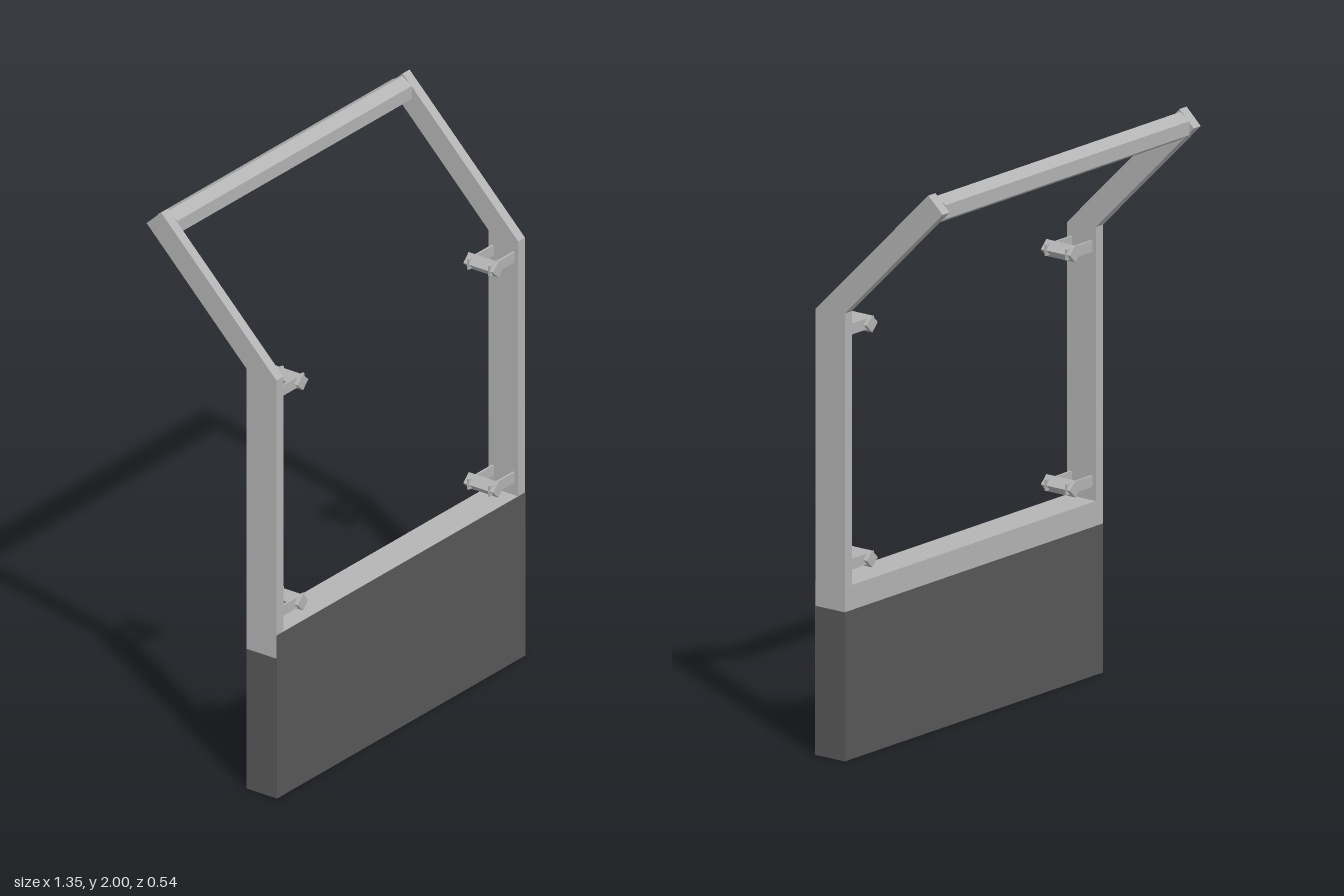
import * as THREE from 'three';

export function createModel() {
  const model = new THREE.Group();
  model.name = 'boardFrame';

  const steel = new THREE.MeshStandardMaterial({ color: 0xb4b4b4 });
  steel.name = 'light grey steel';
  const dark = new THREE.MeshStandardMaterial({ color: 0x585858 });
  dark.name = 'dark grey panel';

  const HALF = 0.675, INNER = 0.638;       // outer and inner half widths
  const FRONT = 0.268, BACK = 0.145;       // depth of the upright part
  const MID = (FRONT + BACK) / 2, DEPTH = FRONT - BACK;
  const BASE = 0.51, SILL = 0.595;

  const add = (parent, name, geometry, material, x = 0, y = 0, z = 0) => {
    const mesh = new THREE.Mesh(geometry, material);
    mesh.name = name;
    mesh.position.set(x, y, z);
    parent.add(mesh);
    return mesh;
  };

  // Low-sided bar with hard edges
  const facetedBar = (radius, length, sides, thetaStart) => {
    const g = new THREE.CylinderGeometry(radius, radius, length, sides, 1, false, thetaStart).toNonIndexed();
    g.computeVertexNormals();
    return g;
  };

  // Solid base, the sill above it and the taller front panel
  add(model, 'base', new THREE.BoxGeometry(HALF * 2, BASE, DEPTH), dark, 0, BASE / 2, MID);
  add(model, 'sill', new THREE.BoxGeometry(INNER * 2, SILL - BASE, DEPTH), steel, 0, (BASE + SILL) / 2, MID);
  add(model, 'frontPanel', new THREE.BoxGeometry(HALF * 2, SILL, 0.002), dark, 0, SILL / 2, FRONT + 0.001);

  // Bent side posts: profile in z and y, extruded across x
  const profile = new THREE.Shape([
    [FRONT, BASE], [FRONT, 1.526], [-0.208, 2], [-0.268, 1.944], [BACK, 1.532], [BACK, BASE],
  ].map(([z, y]) => new THREE.Vector2(z, y)));
  const postGeometry = new THREE.ExtrudeGeometry(profile, { depth: HALF - INNER, bevelEnabled: false });
  postGeometry.rotateY(-Math.PI / 2);
  add(model, 'leftPost', postGeometry, steel, HALF);
  add(model, 'rightPost', postGeometry, steel, -INNER);

  // Hexagonal crossbar between the tips of the posts
  const crossbar = facetedBar(0.0475, INNER * 2, 6, Math.PI / 6).rotateZ(Math.PI / 2);
  add(model, 'crossbar', crossbar, steel, 0, 1.9425, -0.21);

  // Four brackets: two thin arms carrying a square rod set on edge
  const rodGeometry = facetedBar(0.029, DEPTH, 4, 0).rotateX(Math.PI / 2);
  const armGeometry = new THREE.BoxGeometry(INNER - 0.503, 0.038, 0.008);
  for (const side of [1, -1]) {
    for (const y of [0.66, 1.464]) {
      const bracket = new THREE.Group();
      bracket.name = (side > 0 ? 'left' : 'right') + (y > 1 ? 'Upper' : 'Lower') + 'Bracket';
      bracket.position.set(0, y, MID);
      add(bracket, 'rod', rodGeometry, steel, side * 0.531);
      for (const z of [-0.043, 0.043]) {
        add(bracket, 'arm', armGeometry, steel, side * (INNER + 0.503) / 2, 0, z);
      }
      model.add(bracket);
    }
  }

  return model;
}
